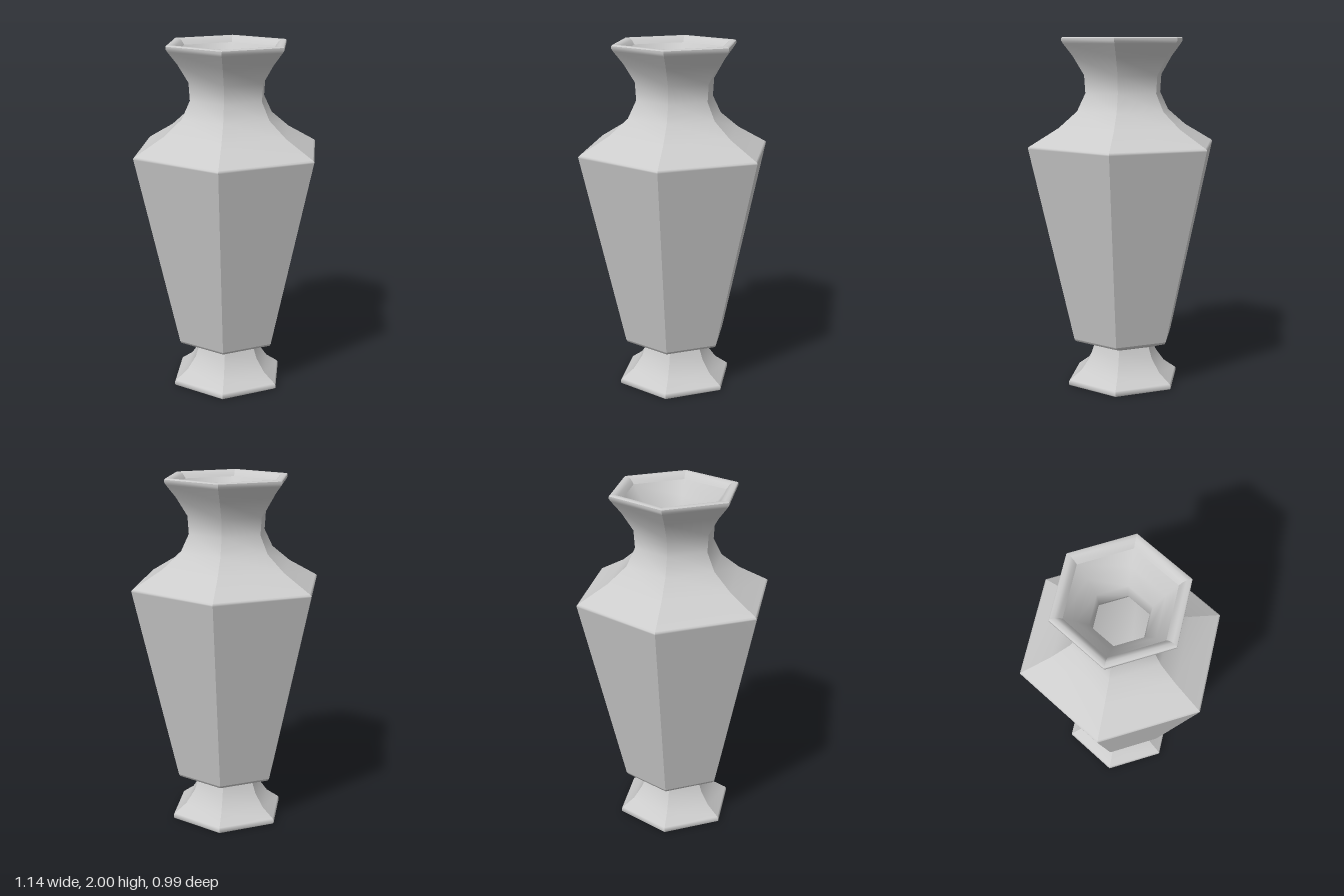
import * as THREE from 'three';
import { mergeGeometries } from 'three/addons/utils/BufferGeometryUtils.js';

const SIDES = 6;
const STEP = (Math.PI * 2) / SIDES;
const START = STEP / 2; // puts corners on the x axis

const toPoints = (profile) => profile.map(([r, y]) => new THREE.Vector2(r, y));

// Six flat panels: smooth along the profile, sharp at the upright corners
function panelled(profile) {
  const panels = [];
  for (let i = 0; i < SIDES; i++) {
    const panel = new THREE.LatheGeometry(toPoints(profile), 1, START + i * STEP, STEP);
    panel.computeVertexNormals();
    panels.push(panel);
  }
  return mergeGeometries(panels);
}

export function createModel() {
  const vase = new THREE.Group();
  vase.name = 'hexagonalVase';
  const material = new THREE.MeshStandardMaterial({ color: 0xcccccc });

  const add = (name, geometry) => {
    const mesh = new THREE.Mesh(geometry, material);
    mesh.name = name;
    vase.add(mesh);
    return mesh;
  };

  // Flared foot, [corner radius, height]
  add('foot', panelled([
    [0.335, 0], [0.342, 0.006], [0.342, 0.024], [0.335, 0.032],
    [0.262, 0.085], [0.208, 0.16], [0.185, 0.225],
  ]));

  // Underside of the foot
  const base = add('base', new THREE.CircleGeometry(0.335, SIDES));
  base.rotation.x = Math.PI / 2;

  // Collar under the body
  add('collar', panelled([[0.185, 0.225], [0.285, 0.258], [0.298, 0.262], [0.306, 0.275]]));

  // Tapered body with a narrow bevel at the shoulder
  add('body', panelled([[0.306, 0.275], [0.569, 1.388], [0.57, 1.396], [0.562, 1.403]]));

  // Shoulder, waisted neck and flared mouth
  add('neck', panelled([
    [0.562, 1.403], [0.39, 1.5], [0.28, 1.59], [0.23, 1.69],
    [0.237, 1.79], [0.303, 1.895], [0.36, 1.965], [0.37, 1.98], [0.37, 1.994],
  ]));

  // Rounded lip
  add('rim', panelled([[0.37, 1.994], [0.364, 2], [0.34, 2], [0.32, 1.99], [0.3, 1.965]]));

  // Hollow inside, smooth all round
  add('interior', new THREE.LatheGeometry(toPoints([
    [0.3, 1.965], [0.235, 1.885], [0.17, 1.79], [0.155, 1.7], [0.205, 1.58],
    [0.32, 1.47], [0.49, 1.37], [0.25, 0.36], [0.15, 0.32], [0, 0.31],
  ]), SIDES, START));

  return vase;
}
